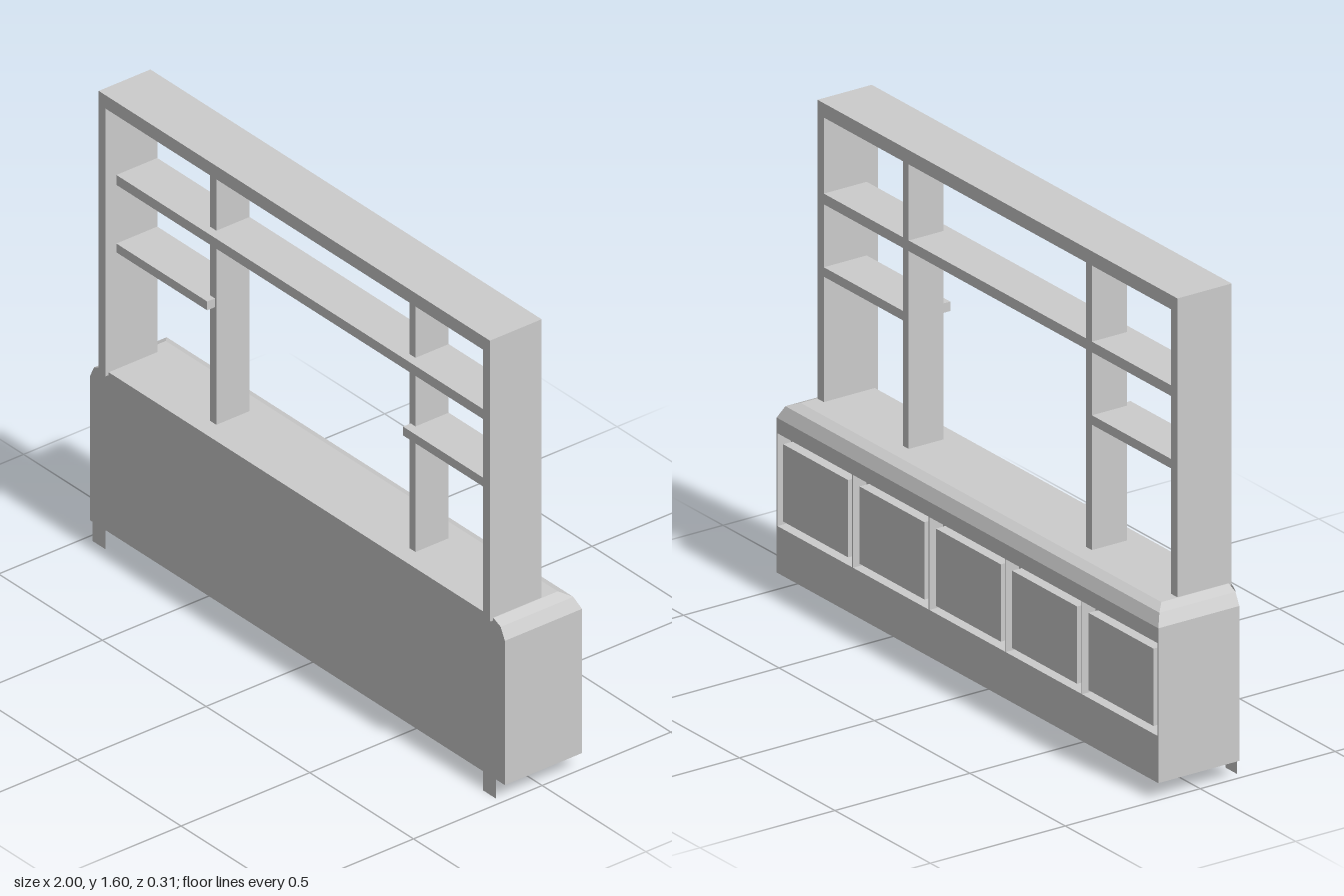
import * as THREE from 'three';

const grey = new THREE.MeshStandardMaterial({ color: 0xcccccc, flatShading: true });
const thin = new THREE.MeshStandardMaterial({ color: 0xcccccc, side: THREE.DoubleSide });

// Box given by its limits on each axis
function box(parent, name, x0, x1, y0, y1, z0, z1) {
  const mesh = new THREE.Mesh(new THREE.BoxGeometry(x1 - x0, y1 - y0, z1 - z0), grey);
  mesh.position.set((x0 + x1) / 2, (y0 + y1) / 2, (z0 + z1) / 2);
  mesh.name = name;
  parent.add(mesh);
}

const FRONT = 0.145, BACK = -0.155, RECESS = -0.105;

function createCabinet() {
  const g = new THREE.Group();
  g.name = 'cabinet';
  box(g, 'plinth', -1, 1, 0.056, 0.21, BACK, FRONT);
  box(g, 'cabinetCore', -1, 1, 0.21, 0.515, RECESS, FRONT);
  box(g, 'topRail', -1, 1, 0.515, 0.565, BACK, FRONT);

  // Worktop: bevelled in two steps at the ends and on the door side
  const rows = [
    { y: 0.565, x: 1, z: BACK },
    { y: 0.605, x: 0.98, z: -0.137 },
    { y: 0.62, x: 0.945, z: -0.105 },
  ];
  const geo = new THREE.BoxGeometry(2, 2, 2, 1, 2, 1);
  const p = geo.attributes.position;
  for (let i = 0; i < p.count; i++) {
    const r = rows[Math.round(p.getY(i)) + 1];
    p.setXYZ(i, p.getX(i) * r.x, r.y, p.getZ(i) > 0 ? FRONT : r.z);
  }
  geo.computeVertexNormals();
  const top = new THREE.Mesh(geo, grey);
  top.name = 'worktop';
  g.add(top);

  // Five door bays between thin partitions, each door almost flush with the cabinet face
  for (let i = 0; i < 5; i++) {
    const x = -1 + i * 0.4;
    box(g, 'partition', x, x + 0.004, 0.21, 0.515, BACK, RECESS);
    box(g, 'door', x + 0.03, x + 0.37, 0.233, 0.487, BACK + 0.003, RECESS);
  }
  box(g, 'partition', 0.996, 1, 0.21, 0.515, BACK, RECESS);
  return g;
}

function createShelving() {
  const g = new THREE.Group();
  g.name = 'shelving';
  const back = -0.044, front = 0.157, shelfFront = 0.115, innerFront = 0.085;
  box(g, 'topBoard', -0.943, 0.943, 1.555, 1.602, back, front);
  box(g, 'longShelf', -0.91, 0.91, 1.27, 1.305, back, shelfFront);
  for (const s of [-1, 1]) {
    const span = (name, a, b, y0, y1, z1) =>
      box(g, name, Math.min(s * a, s * b), Math.max(s * a, s * b), y0, y1, back, z1);
    span('outerUpright', 0.91, 0.943, 0.61, 1.555, front);
    span('innerUpright', 0.465, 0.495, 0.61, 1.555, innerFront);
    span('shortShelf', 0.472, 0.91, 1.032, 1.063, shelfFront);
  }
  return g;
}

// Flat strip running from the upright down to the floor
function createLeg(s) {
  const pts = [[0.91, 0], [0.972, 0], [0.972, 0.57], [0.962, 0.6], [0.943, 0.615], [0.91, 0.615]];
  const shape = new THREE.Shape(pts.map(([x, y]) => new THREE.Vector2(s * x, y)));
  const leg = new THREE.Mesh(new THREE.ShapeGeometry(shape), thin);
  leg.position.z = 0.157;
  leg.name = 'legStrip';
  return leg;
}

export function createModel() {
  const model = new THREE.Group();
  model.name = 'shelfCabinet';
  model.add(createCabinet(), createShelving(), createLeg(-1), createLeg(1));
  return model;
}
